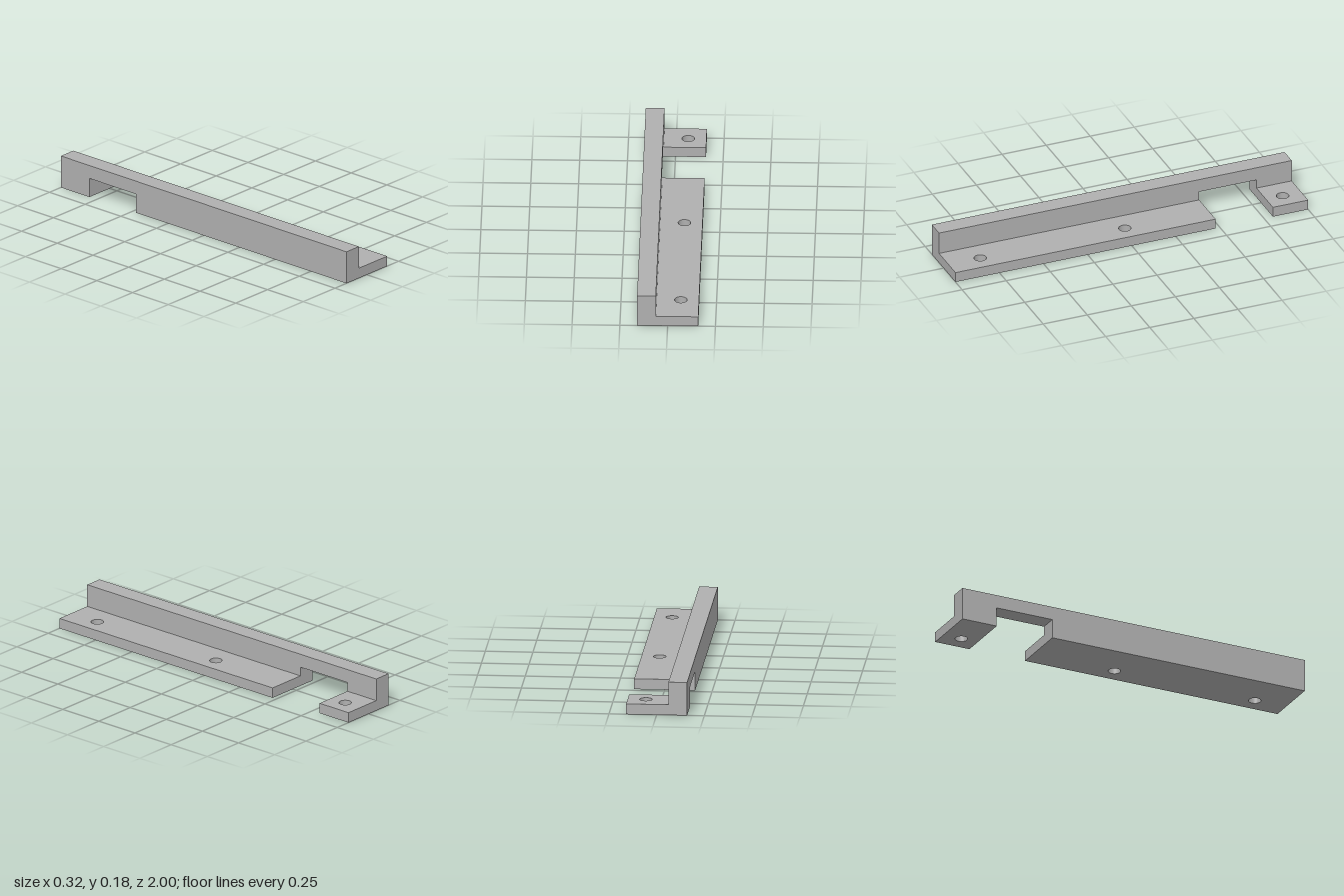
import * as THREE from 'three';

const HALF_W = 0.16, WALL_X = -0.062, WALL_H = 0.178, BASE_H = 0.056;
const NOTCH_BACK = -0.8, NOTCH_FRONT = -0.475, NOTCH_H = 0.105;
const HOLE_X = 0.065, HOLE_R = 0.033;

export function createModel() {
  const group = new THREE.Group();
  const grey = new THREE.MeshStandardMaterial({ color: 0xb0b0b0 });
  grey.name = 'plain grey';

  const add = (name, geometry) => {
    const mesh = new THREE.Mesh(geometry, grey);
    mesh.name = name;
    group.add(mesh);
  };

  // Upright rail: side profile in (-z, y) with the notch cut from below
  const profile = new THREE.Shape([
    [-1, 0], [-NOTCH_FRONT, 0], [-NOTCH_FRONT, NOTCH_H], [-NOTCH_BACK, NOTCH_H],
    [-NOTCH_BACK, 0], [1, 0], [1, WALL_H], [-1, WALL_H],
  ].map(([x, y]) => new THREE.Vector2(x, y)));
  const rail = new THREE.ExtrudeGeometry(profile, { depth: WALL_X + HALF_W, bevelEnabled: false });
  rail.rotateY(Math.PI / 2).translate(-HALF_W, 0, 0);
  add('uprightRail', rail);

  // Flat flange from zBack to zFront with drilled screw holes
  const flange = (name, zBack, zFront, holes) => {
    const plan = new THREE.Shape([
      [WALL_X, -zFront], [HALF_W, -zFront], [HALF_W, -zBack], [WALL_X, -zBack],
    ].map(([x, y]) => new THREE.Vector2(x, y)));
    for (const z of holes) {
      plan.holes.push(new THREE.Path().absarc(HOLE_X, -z, HOLE_R, 0, Math.PI * 2, true));
    }
    const geometry = new THREE.ExtrudeGeometry(plan, {
      depth: BASE_H, bevelEnabled: false, curveSegments: 20,
    });
    add(name, geometry.rotateX(-Math.PI / 2));
  };
  flange('longFlange', NOTCH_FRONT, 1, [0, 0.82]);
  flange('shortFlange', -1, NOTCH_BACK, [-0.895]);

  return group;
}
